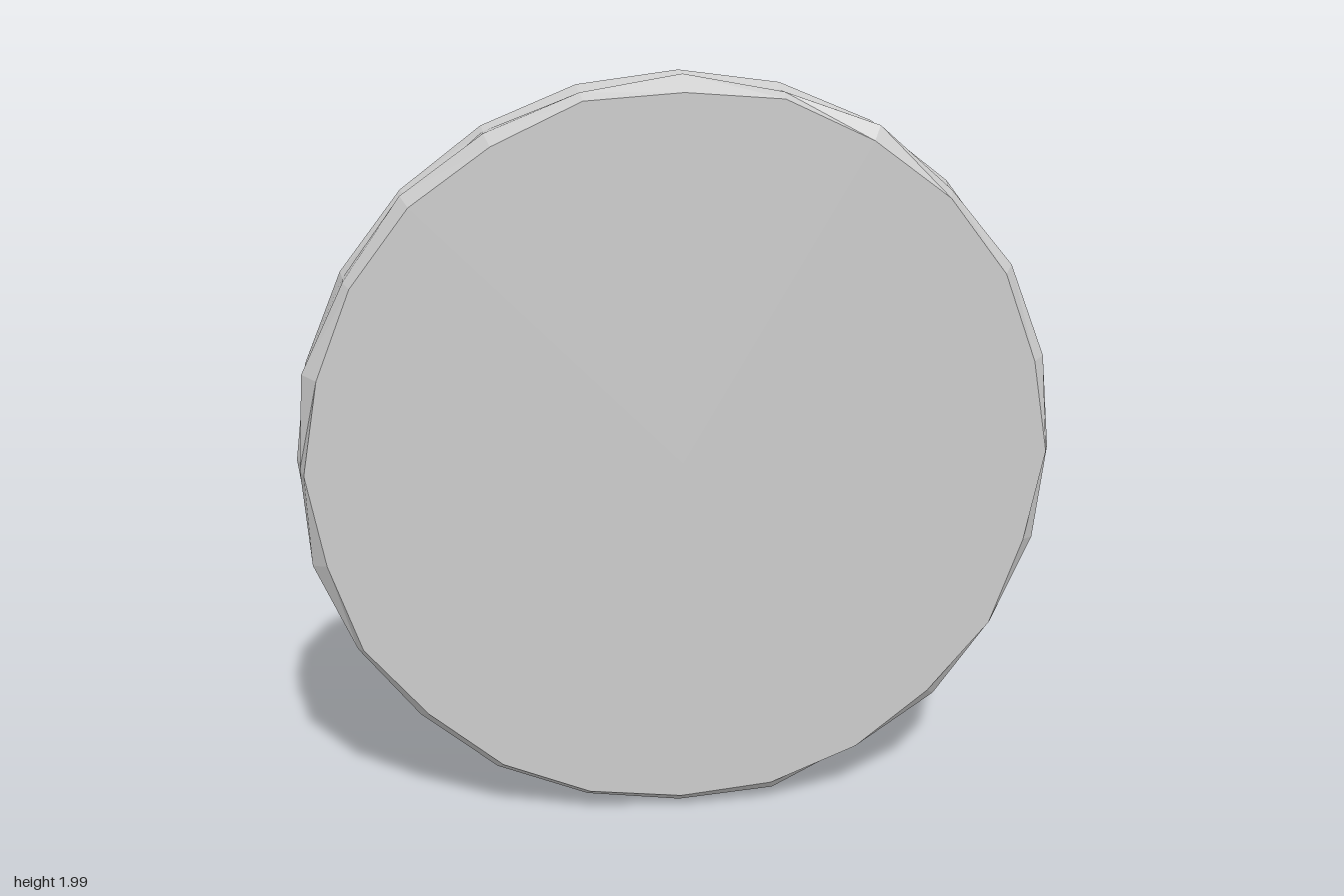
import * as THREE from 'three';

const CY = 1.005;   // height of the table axis
const LEG = 0.432;  // leg offset from the axis

// Leg rings: [z, half-width towards the axis, half-width away from it]
const RINGS = [
  [-0.835, 0.071, 0.071], [-0.765, 0.066, 0.066], [-0.735, 0.047, 0.047],
  [-0.57, 0.034, 0.034], [-0.41, 0.041, 0.041], [-0.385, 0.036, 0.037],
  [-0.33, 0.041, 0.036], [-0.3, 0.041, 0.041], [-0.16, 0.048, 0.048],
  [0, 0.039, 0.039], [0.2, 0.047, 0.047], [0.45, 0.037, 0.041],
  [0.585, 0.054, 0.053], [0.635, 0.064, 0.057], [0.655, 0.098, 0.06],
  [0.675, 0.1, 0.07],
];

export function createModel() {
  const group = new THREE.Group();
  group.name = 'roundTable';
  const mat = new THREE.MeshStandardMaterial({ color: 0xcccccc, flatShading: true });

  const add = (geo, name) => {
    geo.computeVertexNormals();
    const mesh = new THREE.Mesh(geo, mat);
    mesh.name = name;
    group.add(mesh);
    return mesh;
  };

  // Round top: a 24-sided disc on its edge with a roughly hewn rim
  const profile = [[0, 0.697], [0.995, 0.697], [0.977, 0.742], [0.988, 0.795], [0.96, 0.835], [0, 0.835]];
  const top = new THREE.LatheGeometry(profile.map(([r, z]) => new THREE.Vector2(r, z)), 24);
  const tp = top.attributes.position;
  for (let i = 0; i < tp.count; i++) {
    const ring = i % profile.length;
    const side = Math.floor(i / profile.length) % 24;
    if (ring < 2 || ring > 4) continue;
    const wave = Math.sin(side * 2.7 + ring * 4.1);
    const k = 1 + 0.008 * wave;
    tp.setX(i, tp.getX(i) * k);
    tp.setZ(i, tp.getZ(i) * k);
    if (ring < 4) tp.setY(i, tp.getY(i) + 0.012 * Math.sin(side * 4.3 + ring));
  }
  top.rotateX(Math.PI / 2);
  add(top, 'tableTop').position.y = CY - 0.003;

  // Square panel under the top, with sloping edges
  const panel = new THREE.BoxGeometry(2, 2, 0.044);
  const pp = panel.attributes.position;
  for (let i = 0; i < pp.count; i++) {
    const half = pp.getZ(i) < 0 ? 0.485 : 0.53;
    pp.setXY(i, pp.getX(i) * half, pp.getY(i) * half);
  }
  add(panel, 'underPanel').position.set(0, CY, 0.68);

  // Four square, gently swelling legs with a block foot and a flared root
  const n = RINGS.length - 1;
  for (const sx of [-1, 1]) {
    for (const sy of [-1, 1]) {
      const leg = new THREE.BoxGeometry(2, 2, 1, 1, 1, n);
      const p = leg.attributes.position;
      for (let i = 0; i < p.count; i++) {
        const [z, inner, outer] = RINGS[Math.round((p.getZ(i) + 0.5) * n)];
        const x = p.getX(i), y = p.getY(i);
        p.setXYZ(i, x * (x * sx > 0 ? outer : inner), y * (y * sy > 0 ? outer : inner), z);
      }
      const name = (sy > 0 ? 'upper' : 'lower') + (sx > 0 ? 'Left' : 'Right') + 'Leg';
      add(leg, name).position.set(sx * LEG, CY + sy * LEG, 0);
    }
  }

  return group;
}
